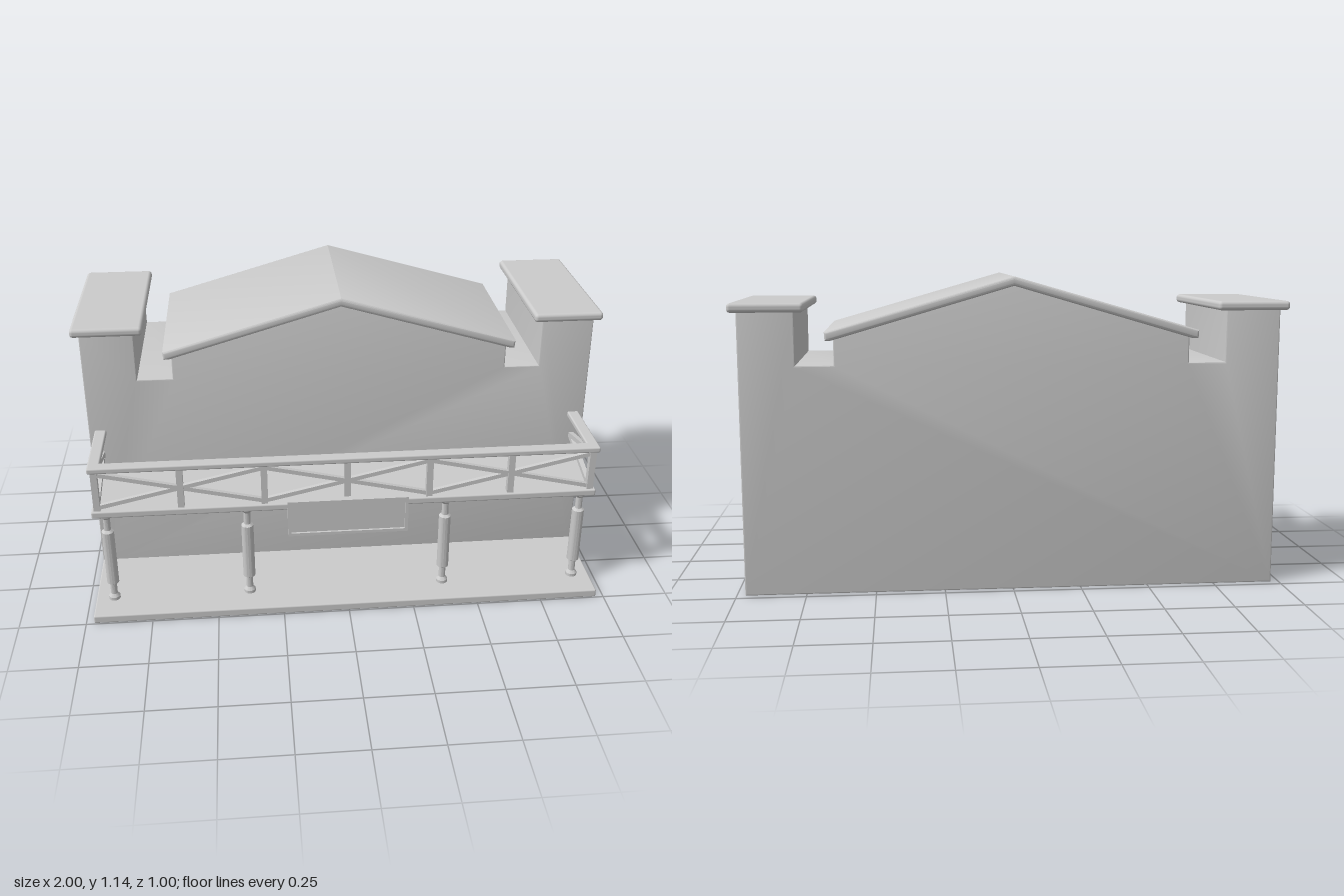
import * as THREE from 'three';
import { toCreasedNormals } from 'three/addons/utils/BufferGeometryUtils.js';
import { RoundedBoxGeometry } from 'three/addons/geometries/RoundedBoxGeometry.js';

export function createModel() {
  const model = new THREE.Group();
  const mat = new THREE.MeshStandardMaterial({ color: 0xcccccc });

  function add(name, geo, x = 0, y = 0, z = 0, parent = model) {
    const mesh = new THREE.Mesh(geo, mat);
    mesh.name = name;
    mesh.position.set(x, y, z);
    parent.add(mesh);
    return mesh;
  }

  // Box given by its min and max corners, softly rounded when r > 0
  function box(name, [x0, y0, z0], [x1, y1, z1], r = 0, parent = model) {
    const size = [x1 - x0, y1 - y0, z1 - z0];
    const geo = r ? new RoundedBoxGeometry(...size, 3, r) : new THREE.BoxGeometry(...size);
    return add(name, geo, (x0 + x1) / 2, (y0 + y1) / 2, (z0 + z1) / 2, parent);
  }

  // Front outline, mirrored in x, extruded between z0 and z1 with bevelled edges
  function extrude(name, points, z0, z1, bevel) {
    const shape = new THREE.Shape(points.map(([x, y]) => new THREE.Vector2(x, y)));
    const geo = new THREE.ExtrudeGeometry(shape, {
      depth: z1 - z0 - 2 * bevel, bevelThickness: bevel, bevelSize: bevel,
      bevelOffset: -bevel, bevelSegments: 3,
    });
    add(name, toCreasedNormals(geo, 0.6), 0, 0, z0 + bevel);
  }
  const mirrorX = (half) => [...half, ...half.filter(([x]) => x !== 0).reverse().map(([x, y]) => [-x, y])];

  // Square bar between two points
  function bar(name, a, b, t, parent) {
    const from = new THREE.Vector3(...a), to = new THREE.Vector3(...b);
    const dir = to.clone().sub(from);
    const mid = from.clone().add(to).multiplyScalar(0.5);
    const mesh = add(name, new THREE.BoxGeometry(t, t, dir.length()), mid.x, mid.y, mid.z, parent);
    mesh.lookAt(to);
  }

  // Main building with corner towers and gable
  extrude('building', mirrorX([
    [0.97, 0], [0.97, 1.03], [0.77, 1.03], [0.77, 0.83],
    [0.637, 0.83], [0.637, 0.932], [0, 1.12],
  ]), -0.472, 0.115, 0.005);

  // Gable roof slab with rounded rim
  extrude('roof', [
    [-0.665, 0.918], [-0.645, 0.918], [0, 1.107], [0.645, 0.918], [0.665, 0.918],
    [0.667, 0.948], [0, 1.14], [-0.667, 0.948],
  ], -0.497, 0.14, 0.009);

  // Tower caps
  for (const s of [-1, 1]) {
    const cap = box('towerCap', [-0.132, 1.017, -0.497], [0.132, 1.05, 0.14], 0.013);
    cap.position.x = s * 0.867;
  }

  // Porch floor and balcony deck
  box('porchFloor', [-0.97, 0, 0.1], [0.97, 0.032, 0.498], 0.006);
  box('balconyDeck', [-0.948, 0.415, 0.1], [0.948, 0.442, 0.42], 0.006);

  // Turned porch columns
  const profile = [
    [0, 0.03], [0.022, 0.03], [0.022, 0.044], [0.013, 0.056], [0.013, 0.1],
    [0.023, 0.108], [0.023, 0.335], [0.013, 0.343], [0.013, 0.392],
    [0.022, 0.404], [0.022, 0.418], [0, 0.418],
  ].map(([r, y]) => new THREE.Vector2(r, y));
  const columnGeo = toCreasedNormals(new THREE.LatheGeometry(profile, 16), 0.5);
  for (const x of [-0.9, -0.378, 0.378, 0.9]) add('porchColumn', columnGeo, x, 0, 0.38);

  // Balcony railing: handrails, posts and chevron braces
  const railing = new THREE.Group();
  railing.name = 'railing';
  model.add(railing);
  box('frontHandrail', [-0.948, 0.602, 0.374], [0.948, 0.624, 0.42], 0.006, railing);
  for (const s of [-1, 1]) {
    const side = box('sideHandrail', [-0.022, 0.602, 0.1], [0.022, 0.624, 0.41], 0.006, railing);
    side.position.x = s * 0.926;
  }
  const railZ = 0.398, sideX = 0.926;
  const posts = [-sideX, -0.618, -0.309, 0, 0.309, 0.618, sideX];
  for (const x of posts) {
    box('railingPost', [x - 0.012, 0.44, railZ - 0.013], [x + 0.012, 0.604, railZ + 0.013], 0, railing);
  }
  for (let i = 0; i < posts.length; i += 2) {
    for (const j of [i - 1, i + 1]) {
      if (j < 0 || j >= posts.length) continue;
      // Corner bays meet on the second post, the middle bays on the centre post
      const [open, meet] = j === 3 || i === 0 || i === 6 || j % 2 === 0
        ? [posts[i], posts[j]] : [posts[i], posts[j]];
      for (const y of [0.452, 0.592]) {
        bar('brace', [open, y, railZ], [meet, 0.522, railZ], 0.016, railing);
      }
    }
  }
  for (const s of [-1, 1]) {
    for (const y of [0.452, 0.592]) {
      bar('sideBrace', [s * sideX, y, railZ], [s * sideX, 0.522, 0.112], 0.018, railing);
    }
  }

  // Blank hanging board with raised frame
  const board = new THREE.Group();
  board.name = 'hangingBoard';
  model.add(board);
  box('boardPanel', [-0.22, 0.32, 0.42], [0.22, 0.455, 0.436], 0, board);
  for (const [y0, y1] of [[0.314, 0.326], [0.45, 0.462]]) {
    box('boardFrame', [-0.226, y0, 0.418], [0.226, y1, 0.444], 0, board);
  }
  for (const x of [-0.22, 0.22]) {
    box('boardFrame', [x - 0.006, 0.326, 0.418], [x + 0.006, 0.45, 0.444], 0, board);
  }
  return model;
}
